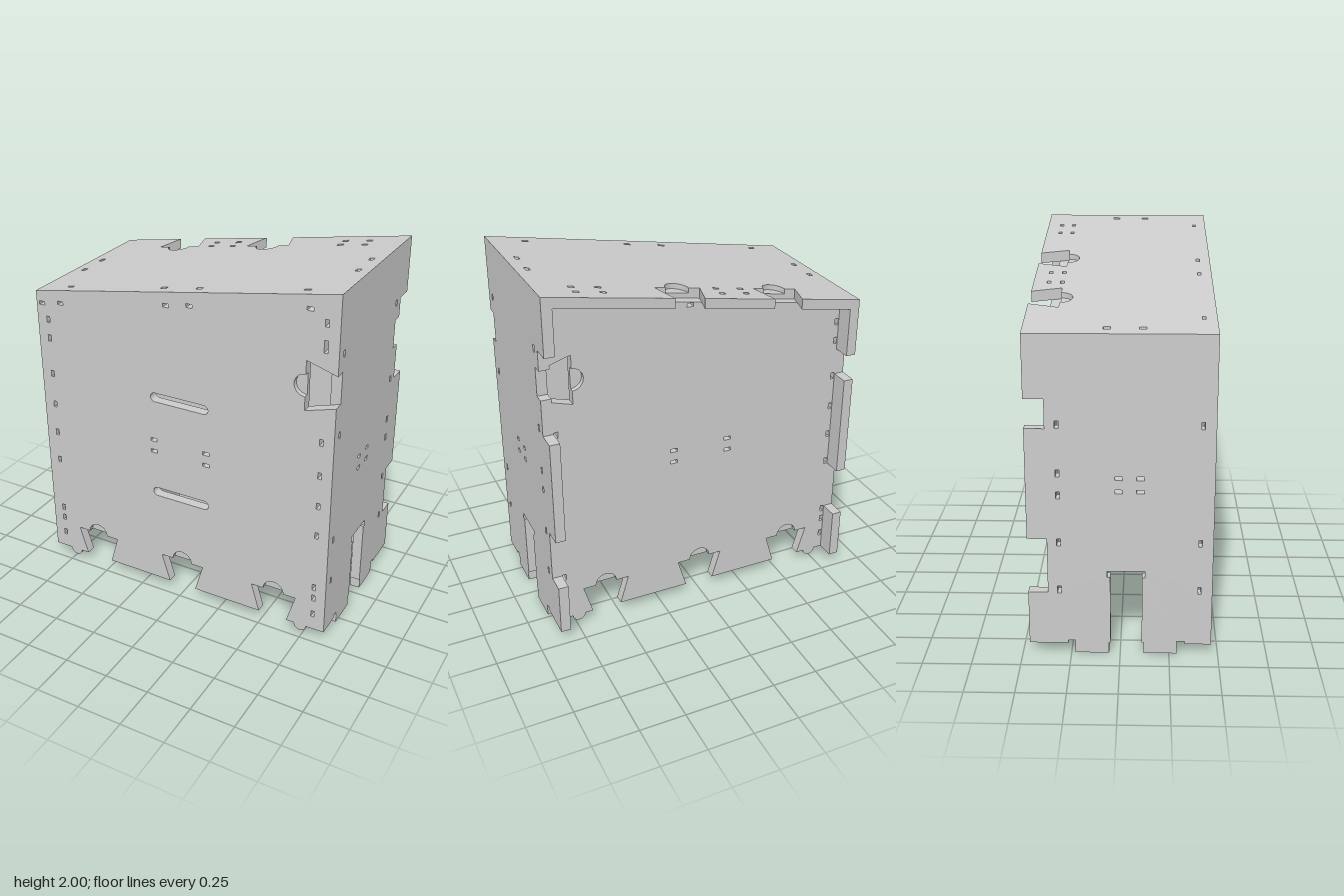
import * as THREE from 'three';
import { mergeGeometries } from 'three/addons/utils/BufferGeometryUtils.js';

const T = 0.055;                 // sheet thickness
const W = 0.875, D = 0.465;      // half width, half depth
const SLOPE = 0.177, RISE = 0.056;
const roof = x => 1.845 - RISE + SLOPE * x;   // underside of the sloping top
const PI = Math.PI;

const material = new THREE.MeshStandardMaterial({ color: 0xcccccc });

function rectHole(x, y, w, h) {
  const p = new THREE.Path();
  p.moveTo(x - w / 2, y - h / 2);
  p.lineTo(x - w / 2, y + h / 2);
  p.lineTo(x + w / 2, y + h / 2);
  p.lineTo(x + w / 2, y - h / 2);
  p.closePath();
  return p;
}

function roundedSlot(y, half, r) {
  const p = new THREE.Path();
  p.moveTo(-half + r, y - r);
  p.lineTo(half - r, y - r);
  p.absarc(half - r, y, r, -PI / 2, PI / 2, false);
  p.lineTo(-half + r, y + r);
  p.absarc(-half + r, y, r, PI / 2, PI * 1.5, false);
  return p;
}

function extrude(shape, depth, offset = 0) {
  const g = new THREE.ExtrudeGeometry(shape, { depth, bevelEnabled: false, curveSegments: 16 });
  return g.translate(0, 0, offset);
}

// A sheet of two half layers; only the outer one carries the thumb pockets
function sheet(makeShape, outerFirst) {
  return mergeGeometries([
    extrude(makeShape(outerFirst), T / 2),
    extrude(makeShape(!outerFirst), T / 2, T / 2),
  ]);
}

// Front and back: dovetail cut-outs below, one side cut-out, sloping top edge
function faceShape(w, pockets, slots) {
  const s = new THREE.Shape();
  const foot = x => {
    s.lineTo(x - 0.036, T);
    s.absarc(x, T, 0.036, PI, 2 * PI, false);
  };
  s.moveTo(-w, T);
  foot(-0.735);
  for (const c of [-0.568, 0, 0.57]) {
    s.lineTo(c - 0.083, T);
    s.lineTo(c - 0.132, 0.22);
    if (pockets) {
      s.lineTo(c - 0.06, 0.22);
      s.absarc(c, 0.22, 0.06, PI, 0, true);
    }
    s.lineTo(c + 0.132, 0.22);
    s.lineTo(c + 0.083, T);
  }
  foot(0.735);
  s.lineTo(w, T);
  const taper = 0.05 * (w - 0.71) / 0.165;
  s.lineTo(w, 1.365 + taper);
  s.lineTo(0.71, 1.365);
  if (pockets) {
    s.lineTo(0.71, 1.44);
    s.absarc(0.71, 1.5, 0.06, -PI / 2, PI / 2, true);
  }
  s.lineTo(0.71, 1.635);
  s.lineTo(w, 1.635 - taper);
  s.lineTo(w, roof(w));
  s.lineTo(-w, roof(-w));
  s.closePath();

  // Fixing holes
  const common = [0.155, 0.26, 0.33, 0.66, 0.84, 1.02, 1.21];
  for (const y of [...common, 1.425, 1.535]) s.holes.push(rectHole(-0.807, y, 0.02, 0.037));
  for (const y of [...common, 1.845]) s.holes.push(rectHole(0.807, y, 0.02, 0.037));
  s.holes.push(rectHole(0.807, 1.725, 0.02, 0.065));
  for (const x of [-0.16, 0.16])
    for (const y of [0.895, 0.965]) s.holes.push(rectHole(x, y, 0.04, 0.02));
  for (const x of [-0.84, -0.72, -0.065, 0.07, 0.72])
    if (Math.abs(x) < w - 0.03) s.holes.push(rectHole(x, roof(x) - 0.016, 0.035, 0.02));
  if (slots) s.holes.push(roundedSlot(1.225, 0.173, 0.026), roundedSlot(0.64, 0.173, 0.026));
  return s;
}

// Sides: drawn with the back to the right, then turned to face +x
function sideGeometry(side) {
  const xc = side * (W - T / 2), top = roof(xc);
  const outline = [
    [-0.41, T], [-0.33, T], [-0.33, 0.07], [-0.29, 0.07], [-0.29, 0], [-0.12, 0], [-0.12, 0.06],
    [-0.11, 0.06], [-0.11, 0.43], [-0.125, 0.43], [-0.125, 0.465], [0.065, 0.465], [0.065, 0.43],
    [0.05, 0.43], [0.05, 0.06], [0.057, 0.06], [0.057, 0], [0.23, 0], [0.23, 0.07], [0.265, 0.07],
    [0.265, T], [D, T], [D, 0.345], [0.365, 0.345], [0.365, 0.64], [D, 0.64], [D, 1.22], [0.365, 1.22],
    ...(side > 0
      ? [[0.365, 1.42], [0.31, 1.42], [0.31, 1.58], [0.365, 1.58], [0.365, 1.69], [D, 1.69]]
      : [[0.365, 1.37], [D, 1.37]]),
    [D, top], [0.08, top], [0.08, top + RISE], [-0.125, top + RISE], [-0.125, top], [-0.41, top],
  ];
  const s = new THREE.Shape(outline.map(p => new THREE.Vector2(...p)));
  const upper = side > 0 ? [1.68] : [];
  for (const y of [0.36, 0.62, 1.24, ...upper]) s.holes.push(rectHole(-0.4, y, 0.016, 0.038));
  for (const y of [0.36, 0.62, 0.875, 0.99, 1.24, ...upper]) s.holes.push(rectHole(0.306, y, 0.02, 0.038));
  for (const u of [-0.1, 0.007])
    for (const y of [0.895, 0.965]) s.holes.push(rectHole(u, y, 0.037, 0.02));
  const g = extrude(s, T, -T / 2).rotateY(PI / 2).translate(xc, 0, 0);
  // Slant the upper edges to follow the top
  const p = g.attributes.position;
  for (let i = 0; i < p.count; i++)
    if (p.getY(i) > top - 0.001) p.setY(i, p.getY(i) + SLOPE * (p.getX(i) - xc));
  g.computeVertexNormals();
  return g;
}

// Top: dovetails at the back and a slot for the side tab at each end
function topShape(pockets) {
  const s = new THREE.Shape();
  const end = [[W, -0.125], [0.795, -0.125], [0.795, -0.09], [0.82, -0.09],
    [0.82, 0.045], [0.795, 0.045], [0.795, 0.08], [W, 0.08]];
  s.moveTo(-W, -D);
  s.lineTo(W, -D);
  for (const [x, y] of end) s.lineTo(x, y);
  s.lineTo(W, D);
  for (const c of [0.118, -0.44]) {
    s.lineTo(c + 0.08, D);
    s.lineTo(c + 0.125, 0.31);
    if (pockets) {
      s.lineTo(c + 0.063, 0.31);
      s.absarc(c, 0.31, 0.063, 0, -PI, true);
    }
    s.lineTo(c - 0.125, 0.31);
    s.lineTo(c - 0.08, D);
  }
  s.lineTo(-W, D);
  for (const [x, y] of [...end].reverse()) s.lineTo(-x, y);
  s.closePath();
  for (const x of [-0.235, -0.097, 0.54, 0.675])
    for (const v of [0.315, 0.385]) s.holes.push(rectHole(x, v, 0.032, 0.02));
  for (const x of [-0.69, -0.11, 0.095, 0.675]) s.holes.push(rectHole(x, -0.4, 0.035, 0.018));
  return s;
}

export function createModel() {
  const group = new THREE.Group();
  const add = (name, geometry) => {
    const mesh = new THREE.Mesh(geometry, material);
    mesh.name = name;
    group.add(mesh);
  };

  add('frontPanel', sheet(p => faceShape(W, p, true), false).translate(0, 0, D - T));
  add('backPanel', sheet(p => faceShape(W - T, p, false), true).translate(0, 0, -0.365));
  add('leftPanel', sideGeometry(1));
  add('rightPanel', sideGeometry(-1));

  // Sloping top, sheared so its ends stay upright
  const top = sheet(topShape, false).rotateX(-PI / 2).scale(1, RISE / T, 1);
  top.applyMatrix4(new THREE.Matrix4().makeShear(SLOPE, 0, 0, 0, 0, 0));
  top.translate(0, roof(0), 0);
  top.computeVertexNormals();
  add('topPanel', top);

  return group;
}
